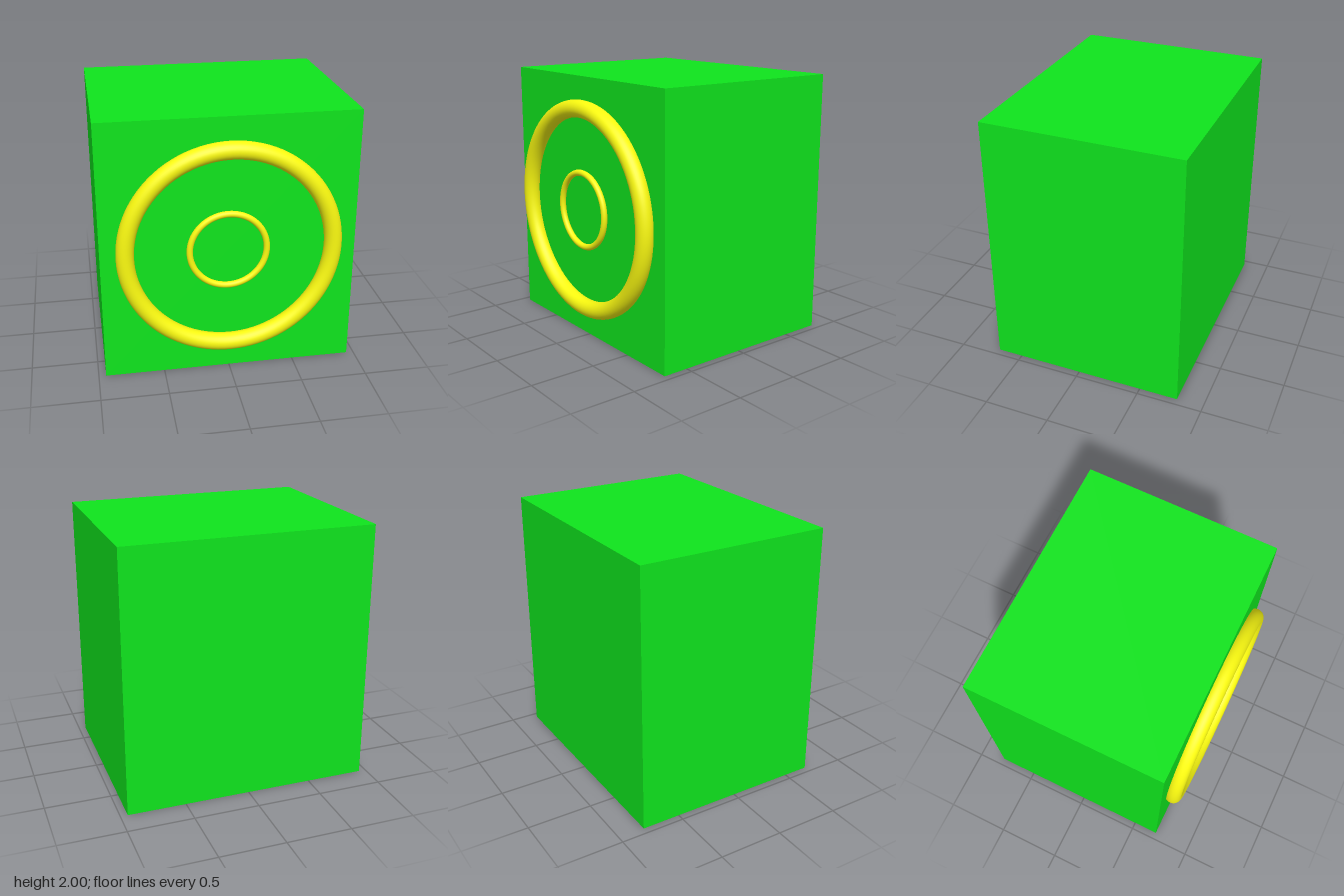
import * as THREE from 'three';

export function createModel() {
  const model = new THREE.Group();
  const green = new THREE.MeshStandardMaterial({ color: 0x0fe51d });
  const yellow = new THREE.MeshStandardMaterial({ color: 0xfafa10 });

  const add = (name, geometry, material, x, y, z) => {
    const mesh = new THREE.Mesh(geometry, material);
    mesh.name = name;
    mesh.position.set(x, y, z);
    model.add(mesh);
  };

  // Solid cabinet
  add('cabinet', new THREE.BoxGeometry(1.89, 2, 1.495), green, 0, 1, -0.05);

  // Large ring, partly sunk into the front face
  add('outerRing', new THREE.TorusGeometry(0.766, 0.066, 32, 96), yellow, 0, 1, 0.731);

  // Small ring, set slightly off centre
  add('innerRing', new THREE.TorusGeometry(0.284, 0.0235, 24, 96), yellow, -0.015, 1, 0.727);

  return model;
}
